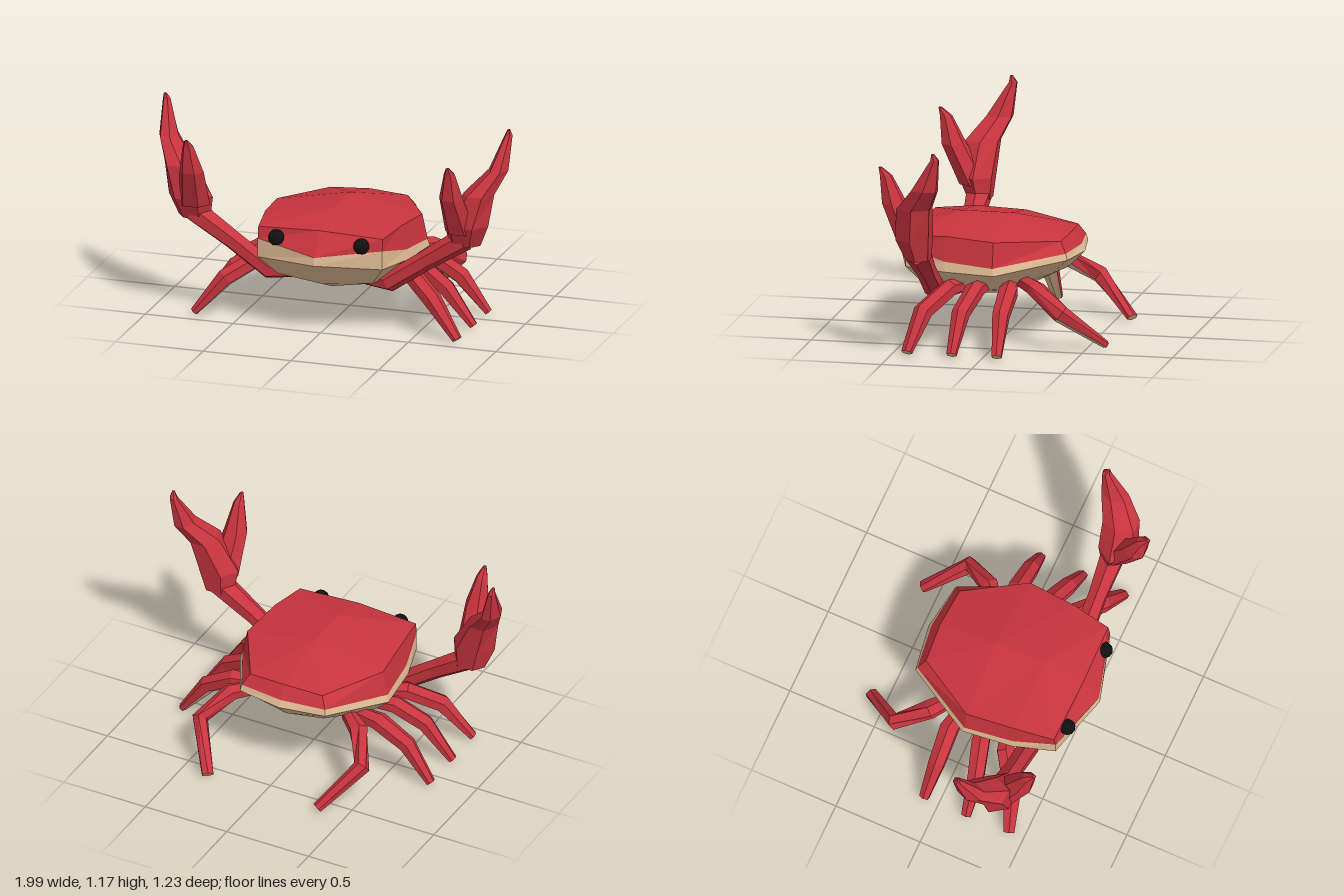
import * as THREE from 'three';

const material = (color) => new THREE.MeshStandardMaterial({ color, flatShading: true });
const red = material(0xc8343e);
const tan = material(0xe0bc94);
const black = material(0x111111);
const V = (x, y, z) => new THREE.Vector3(x, y, z);
const mirrorPoint = (p) => V(-p.x, p.y, p.z);

// Triangles joining rings of equal size; zero-area ones are dropped
function loftTriangles(rings, caps) {
  const tris = [];
  const add = (a, b, c) => {
    const t = new THREE.Triangle(a, b, c);
    if (t.getArea() > 1e-7) tris.push(t);
  };
  for (let r = 0; r + 1 < rings.length; r++) {
    const a = rings[r], b = rings[r + 1], n = a.length;
    for (let i = 0; i < n; i++) {
      const j = (i + 1) % n;
      add(a[i], a[j], b[j]);
      add(a[i], b[j], b[i]);
    }
  }
  if (caps) {
    const first = rings[0], last = rings[rings.length - 1];
    for (let i = 1; i + 1 < first.length; i++) {
      add(first[0], first[i + 1], first[i]);
      add(last[0], last[i], last[i + 1]);
    }
  }
  return tris;
}

function meshFrom(tris, mat, name) {
  const geometry = new THREE.BufferGeometry().setFromPoints(tris.flatMap((t) => [t.a, t.b, t.c]));
  geometry.computeVertexNormals();
  const mesh = new THREE.Mesh(geometry, mat);
  mesh.name = name;
  return mesh;
}

// Six-sided ring in the plane of u and v
function ring(center, u, v, ru, rv) {
  return Array.from({ length: 6 }, (_, i) => {
    const a = (i / 6) * Math.PI * 2 + Math.PI / 6;
    return center.clone().addScaledVector(u, Math.cos(a) * ru).addScaledVector(v, Math.sin(a) * rv);
  });
}

// Limb stations: [x, y, z, half width, half height], rings square to the path
function limbRings(stations) {
  const pts = stations.map((s) => V(s[0], s[1], s[2]));
  return stations.map((s, i) => {
    const t = pts[Math.min(i + 1, pts.length - 1)].clone().sub(pts[Math.max(i - 1, 0)]).normalize();
    const u = V(0, 1, 0).cross(t).normalize();
    const v = t.clone().cross(u);
    return ring(pts[i], u, v, s[3], s[4]);
  });
}

// Claw stations: [x, y, z, half x, half z], level rings
const clawRings = (stations) =>
  stations.map((s) => ring(V(s[0], s[1], s[2]), V(0, 0, 1), V(1, 0, 0), s[4], s[3]));

const mirrorRings = (rings) => rings.map((r) => r.map(mirrorPoint).reverse());

// Full body ring from its half, front centre to back centre
function bodyRing(half) {
  const pts = half.map((p) => V(...p));
  return [...pts.map(mirrorPoint), ...pts.slice(1, -1).reverse()];
}

const ridgeFront = [0, 0.645, 0.28], ridgeBack = [0, 0.645, 0];
const ridge = [ridgeFront, ridgeFront, ridgeFront, ridgeBack, ridgeBack, ridgeBack];
const crest = [[0, 0.585, 0.51], [0.355, 0.57, 0.5], [0.39, 0.585, 0.28], [0.415, 0.568, 0.01], [0.22, 0.55, -0.32], [0, 0.56, -0.335]];
const bandTop = [[0, 0.46, 0.605], [0.355, 0.505, 0.51], [0.415, 0.45, 0.28], [0.445, 0.43, 0.01], [0.255, 0.49, -0.355], [0, 0.49, -0.385]];
const bandBase = [[0, 0.415, 0.613], [0.355, 0.4, 0.51], [0.425, 0.395, 0.28], [0.455, 0.39, 0], [0.26, 0.455, -0.365], [0, 0.452, -0.405]];
const bellySide = [[0, 0.27, 0.47], [0.27, 0.285, 0.42], [0.33, 0.29, 0.28], [0.34, 0.29, 0], [0.2, 0.365, -0.27], [0, 0.365, -0.32]];
const bellyBase = [[0, 0.207, 0.31], [0.14, 0.228, 0.3], [0.16, 0.23, 0.22], [0.16, 0.235, 0.02], [0.1, 0.3, -0.17], [0, 0.305, -0.2]];
const keelFront = [0, 0.207, 0.3], keelBack = [0, 0.22, 0.02];
const keel = [keelFront, keelFront, keelFront, keelBack, keelBack, keelBack];

// Front pair to rear pair
const legs = [
  [[0.3, 0.3, 0.2, 0.04, 0.04], [0.43, 0.31, 0.25, 0.055, 0.05], [0.59, 0.21, 0.36, 0.055, 0.05], [0.75, 0.016, 0.415, 0.033, 0.022]],
  [[0.3, 0.31, 0.08, 0.04, 0.04], [0.44, 0.31, 0.105, 0.055, 0.05], [0.6, 0.21, 0.15, 0.05, 0.05], [0.76, 0.016, 0.165, 0.03, 0.022]],
  [[0.3, 0.31, -0.06, 0.04, 0.04], [0.44, 0.31, -0.08, 0.057, 0.05], [0.61, 0.21, -0.075, 0.05, 0.05], [0.76, 0.016, -0.085, 0.03, 0.022]],
  [[0.27, 0.33, -0.12, 0.04, 0.04], [0.39, 0.32, -0.22, 0.055, 0.045], [0.495, 0.21, -0.38, 0.045, 0.05], [0.335, 0.018, -0.593, 0.035, 0.022]],
];
const arm = [[0.2, 0.27, 0.32, 0.035, 0.03], [0.34, 0.28, 0.35, 0.06, 0.055], [0.55, 0.425, 0.35, 0.055, 0.055], [0.77, 0.57, 0.35, 0.075, 0.065]];
const mainClaw = [[0.77, 0.54, 0.345, 0.09, 0.07], [0.785, 0.66, 0.365, 0.125, 0.105], [0.855, 0.84, 0.35, 0.085, 0.105], [0.94, 0.96, 0.275, 0.055, 0.08], [0.975, 1.14, 0.21, 0.022, 0.025], [0.98, 1.175, 0.22, 0.008, 0.008]];
const thumb = [[0.76, 0.62, 0.38, 0.09, 0.08], [0.74, 0.84, 0.485, 0.068, 0.07], [0.745, 0.99, 0.53, 0.032, 0.035], [0.745, 1.035, 0.562, 0.01, 0.01]];

export function createModel() {
  const model = new THREE.Group();
  model.name = 'crab';

  // Body
  model.add(meshFrom(loftTriangles([ridge, crest, bandTop].map(bodyRing)), red, 'shell'));
  model.add(meshFrom(loftTriangles([bandTop, bandBase, bellySide, bellyBase, keel].map(bodyRing)), tan, 'belly'));

  for (const [side, sign] of [['left', 1], ['right', -1]]) {
    const place = (rings) => loftTriangles(sign > 0 ? rings : mirrorRings(rings), true);

    // Walking legs, pale underneath
    legs.forEach((stations, i) => {
      const leg = new THREE.Group();
      leg.name = `${side}Leg${i + 1}`;
      const tris = place(limbRings(stations));
      const isUnder = (t) => t.getNormal(V(0, 0, 0)).y < -0.5;
      leg.add(meshFrom(tris.filter((t) => !isUnder(t)), red, 'legTop'));
      leg.add(meshFrom(tris.filter(isUnder), tan, 'legUnderside'));
      model.add(leg);
    });

    // Raised claw
    const claw = new THREE.Group();
    claw.name = `${side}Claw`;
    claw.add(meshFrom(place(limbRings(arm)), red, 'arm'));
    claw.add(meshFrom(place(clawRings(mainClaw)), red, 'pincer'));
    claw.add(meshFrom(place(clawRings(thumb)), red, 'thumb'));
    model.add(claw);

    // Eye
    const eye = new THREE.Mesh(new THREE.IcosahedronGeometry(0.045, 1), black);
    eye.name = `${side}Eye`;
    eye.position.set(sign * 0.243, 0.528, 0.53);
    model.add(eye);
  }
  return model;
}
